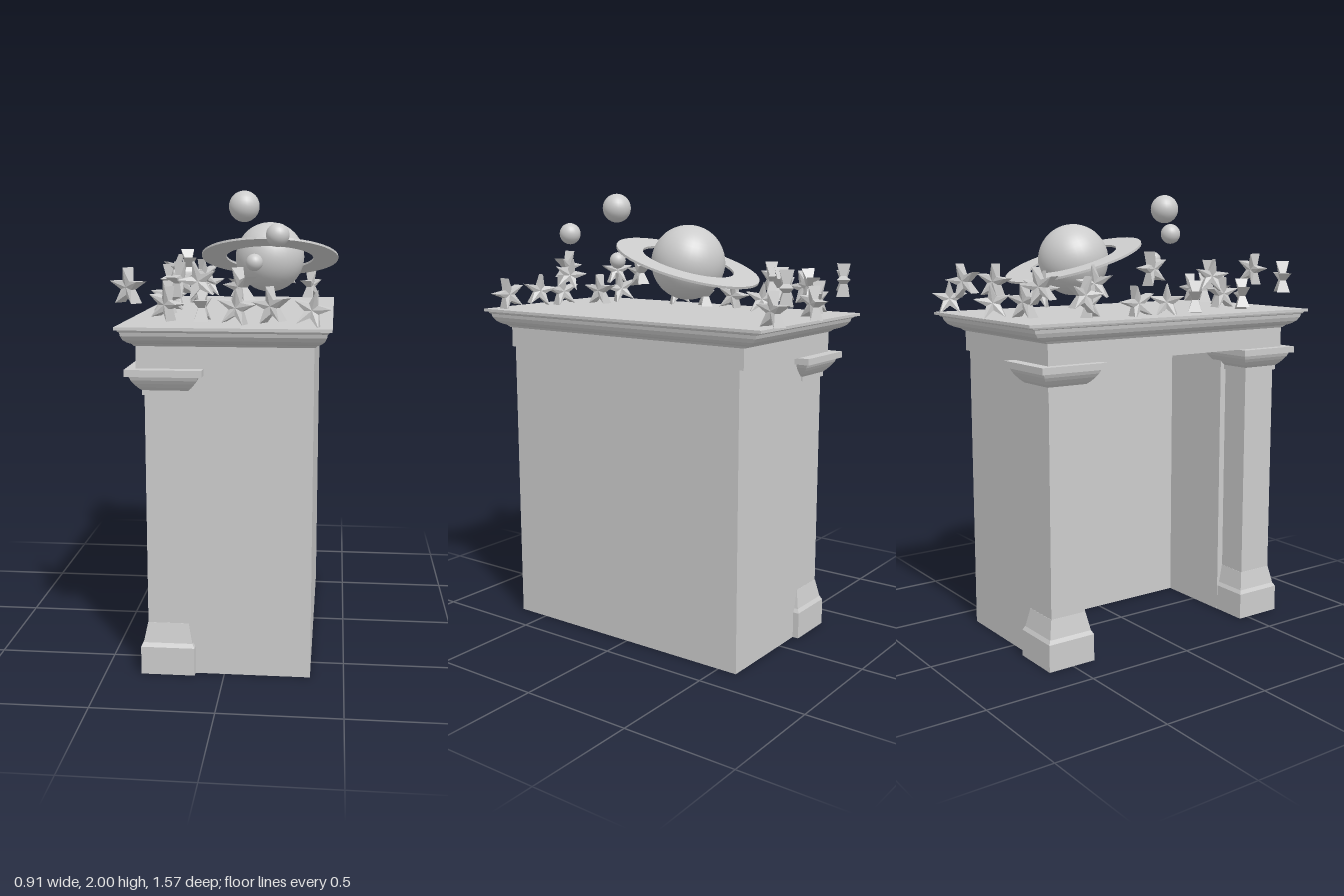
import * as THREE from 'three';

const mat = new THREE.MeshStandardMaterial({ color: 0xcccccc });
const flat = new THREE.MeshStandardMaterial({ color: 0xcccccc, flatShading: true });

function add(parent, name, geometry, material, x = 0, y = 0, z = 0) {
  const mesh = new THREE.Mesh(geometry, material);
  mesh.name = name;
  mesh.position.set(x, y, z);
  parent.add(mesh);
  return mesh;
}

function fromTriangles(points) {
  const g = new THREE.BufferGeometry();
  g.setAttribute('position', new THREE.Float32BufferAttribute(points.flat(), 3));
  g.computeVertexNormals();
  return g;
}

// Stack of rectangles [x0, x1, z0, z1, y], from bottom to top, closed at both ends
function moulding(rects) {
  const loops = rects.map(([x0, x1, z0, z1, y]) =>
    [[x0, y, z1], [x1, y, z1], [x1, y, z0], [x0, y, z0]]);
  const out = [];
  const quad = (a, b, c, d) => out.push(a, b, c, a, c, d);
  for (let i = 0; i + 1 < loops.length; i++) {
    for (let k = 0; k < 4; k++) {
      const n = (k + 1) % 4;
      quad(loops[i][k], loops[i][n], loops[i + 1][n], loops[i + 1][k]);
    }
  }
  const [a, b, c, d] = loops[0];
  quad(d, c, b, a);
  quad(...loops[loops.length - 1]);
  return fromTriangles(out);
}

const squareMoulding = profile => moulding(profile.map(([h, y]) => [-h, h, -h, h, y]));

// Five-pointed star, thick at its tips and pinched towards the middle
function starGeometry() {
  const out = [];
  const rim = i => {
    const tip = i % 2 === 0;
    const r = tip ? 0.078 : 0.03;
    const a = Math.PI / 2 + i * Math.PI / 5;
    return [r * Math.cos(a), r * Math.sin(a), tip ? 0.03 : 0.013];
  };
  const back = ([x, y, z]) => [x, y, -z];
  const mid = [0, 0, 0.014];
  for (let i = 0; i < 10; i++) {
    const a = rim(i), b = rim(i + 1);
    out.push(mid, a, b, back(mid), back(b), back(a));
    out.push(a, back(a), back(b), a, back(b), b);
  }
  return fromTriangles(out);
}

// x, y, z and turn about the vertical
const STARS = [
  [-0.38, 1.62, -0.66, 0.5], [-0.21, 1.55, -0.63, 0.3], [-0.23, 1.6, -0.57, 0.8],
  [-0.05, 1.54, -0.69, 1], [0.08, 1.62, -0.61, 0.4], [0.19, 1.62, -0.7, 0.5],
  [0.31, 1.54, -0.71, 1.2], [-0.39, 1.58, -0.46, 1.5], [-0.29, 1.62, -0.34, 0.8],
  [-0.23, 1.53, -0.33, -1], [-0.3, 1.53, -0.13, 1.55], [-0.3, 1.53, 0.03, 0.8],
  [-0.23, 1.67, 0, -1.3], [-0.3, 1.54, 0.19, -0.7], [-0.21, 1.63, 0.36, 1.1],
  [-0.25, 1.54, 0.51, -0.6], [-0.1, 1.54, 0.52, 1.57], [0.06, 1.62, 0.57, -0.8],
  [0.05, 1.54, 0.63, -0.3], [0.19, 1.55, 0.65, -0.5], [0.35, 1.54, 0.7, -0.1],
  [-0.38, 1.62, 0.64, -0.6], [-0.09, 1.65, 0.72, 0],
];

export function createModel() {
  const model = new THREE.Group();
  model.name = 'celestialSurround';

  // U-shaped wall, open towards -x
  const plan = new THREE.Shape([
    [-0.18, -0.65], [0.36, -0.65], [0.36, 0.59], [-0.18, 0.59],
    [-0.18, 0.39], [0.19, 0.39], [0.19, -0.45], [-0.18, -0.45],
  ].map(([x, y]) => new THREE.Vector2(x, y)));
  const wall = new THREE.ExtrudeGeometry(plan, { depth: 1.3, bevelEnabled: false });
  wall.rotateX(-Math.PI / 2);
  add(model, 'wall', wall, flat);

  // Corner pillars with base and capital
  for (const [side, z] of [['front', 0.565], ['back', -0.505]]) {
    const pillar = new THREE.Group();
    pillar.name = side + 'Pillar';
    pillar.position.set(-0.235, 0, z);
    add(pillar, 'shaft', new THREE.BoxGeometry(0.17, 1.2, 0.17), flat, 0, 0.65, 0);
    add(pillar, 'base', squareMoulding(
      [[0.113, 0], [0.113, 0.12], [0.103, 0.137], [0.086, 0.22]]), flat);
    add(pillar, 'capital', squareMoulding([
      [0.094, 1.19], [0.094, 1.21], [0.108, 1.223], [0.122, 1.24], [0.132, 1.255],
      [0.138, 1.27], [0.155, 1.272], [0.155, 1.3]]), flat);
    model.add(pillar);
  }

  // Frieze and stepped cornice
  add(model, 'frieze', moulding([
    [-0.35, 0.36, -0.61, 0.67, 1.3], [-0.35, 0.36, -0.61, 0.67, 1.395]]), flat);
  const cornice = [[0, 1.39], [0.12, 1.4], [0.35, 1.408], [0.55, 1.42], [0.68, 1.437],
    [0.72, 1.452], [0.8, 1.455], [0.85, 1.463], [1, 1.463], [1, 1.475]];
  add(model, 'cornice', moulding(cornice.map(([t, y]) => [
    -0.355 - 0.06 * t, 0.365 + 0.065 * t, -0.615 - 0.115 * t, 0.675 + 0.105 * t, y])), flat);

  // Ringed planet
  const planet = new THREE.Group();
  planet.name = 'ringedPlanet';
  planet.position.set(0.13, 1.705, -0.175);
  planet.rotation.x = -0.305;
  add(planet, 'globe', new THREE.SphereGeometry(0.16, 32, 24), mat);
  const disc = new THREE.Shape().absarc(0, 0, 0.318, 0, Math.PI * 2);
  disc.holes.push(new THREE.Path().absarc(0, 0, 0.203, 0, Math.PI * 2, true));
  const ring = new THREE.ExtrudeGeometry(disc,
    { depth: 0.01, bevelEnabled: false, curveSegments: 24 });
  ring.translate(0, 0, -0.005).rotateX(Math.PI / 2);
  add(planet, 'ring', ring, flat);
  model.add(planet);

  // Floating moons
  for (const [x, y, z, r] of [
    [0.05, 1.935, 0.285, 0.065], [0.2, 1.82, 0.44, 0.048], [0.09, 1.7, 0.25, 0.037]]) {
    add(model, 'moon', new THREE.SphereGeometry(r, 24, 16), mat, x, y, z);
  }

  // Stars scattered around the edge of the top
  const star = starGeometry();
  STARS.forEach(([x, y, z, yaw], i) => {
    const mesh = add(model, 'star', star, flat, x, y, z);
    mesh.rotation.set(0, yaw, ((i * 7) % 5 - 2) * 0.12, 'YXZ');
  });

  return model;
}
